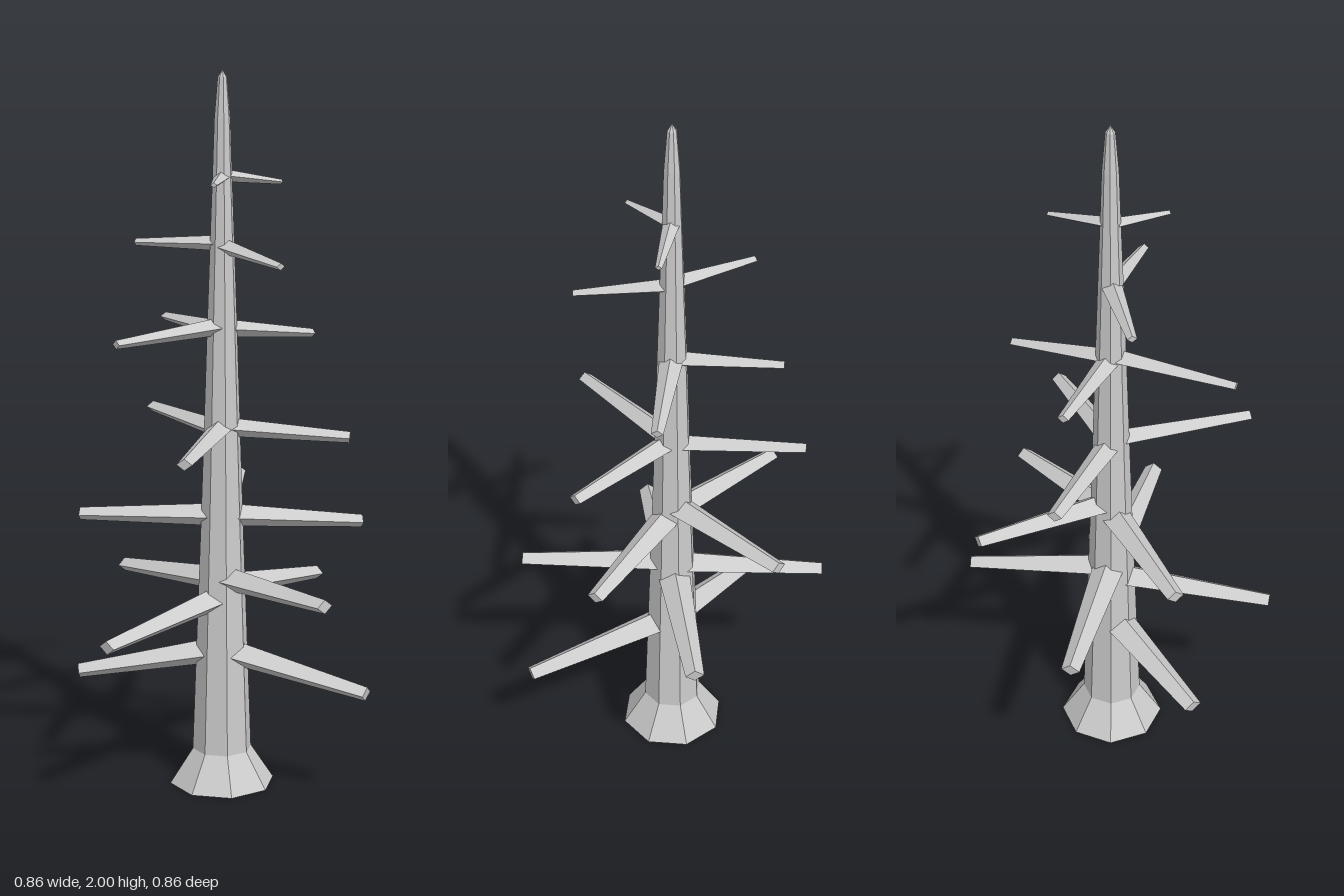
import * as THREE from 'three';

const CENTER_X = 0.02;

export function createModel() {
  const model = new THREE.Group();
  model.name = 'bareTree';
  const bark = new THREE.MeshStandardMaterial({ color: 0xcccccc, flatShading: true });

  // Trunk: flared eight-sided foot tapering to a blunt point [radius, height]
  const profile = [
    [0, 0], [0.149, 0], [0.084, 0.1], [0.073, 0.4], [0.06, 0.75], [0.051, 1.02],
    [0.042, 1.3], [0.034, 1.53], [0.027, 1.72], [0.022, 1.87], [0.013, 1.98], [0, 2],
  ].map(([r, y]) => new THREE.Vector2(r, y));
  const trunk = new THREE.Mesh(new THREE.LatheGeometry(profile, 8, Math.PI / 8), bark);
  trunk.name = 'trunk';
  trunk.position.x = CENTER_X;
  model.add(trunk);

  // Four-sided tapering branch, ridge upward, slightly flattened
  function addBranch(name, rootR, tipR, [rootY, x, y, z]) {
    const root = new THREE.Vector3(CENTER_X, rootY, 0);
    const tip = new THREE.Vector3(x, y, z);
    const length = root.distanceTo(tip);
    const geometry = new THREE.CylinderGeometry(tipR, rootR, length, 4)
      .translate(0, length / 2, 0)
      .rotateX(Math.PI / 2)
      .scale(1, 0.75, 1);
    const branch = new THREE.Mesh(geometry, bark);
    branch.name = name;
    branch.position.copy(root);
    branch.lookAt(tip);
    model.add(branch);
  }

  // Whorls from bottom to top; each branch is [rootY, tipX, tipY, tipZ]
  const whorls = [
    { rootR: 0.05, tipR: 0.027, branches: [
      [0.39, 0.24, 0.325, 0.385], [0.39, -0.325, 0.33, -0.21]] },
    { rootR: 0.047, tipR: 0.026, branches: [
      [0.595, -0.045, 0.55, -0.425], [0.575, 0.42, 0.53, -0.103],
      [0.6, 0.068, 0.61, 0.425], [0.545, -0.423, 0.5, 0.12]] },
    { rootR: 0.044, tipR: 0.024, branches: [
      [0.81, 0.28, 0.815, -0.315], [0.78, 0.377, 0.75, 0.172],
      [0.78, -0.285, 0.77, -0.262]] },
    { rootR: 0.036, tipR: 0.021, branches: [
      [1.02, 0.02, 1.028, -0.368], [1.03, 0.287, 1.01, 0.232],
      [1.03, -0.28, 1.01, 0.282]] },
    { rootR: 0.033, tipR: 0.016, branches: [
      [1.305, 0.317, 1.267, 0.008], [1.31, -0.33, 1.292, 0.025],
      [1.3, 0.022, 1.3, -0.3]] },
    { rootR: 0.029, tipR: 0.013, branches: [
      [1.53, 0.035, 1.498, 0.258], [1.537, -0.13, 1.53, -0.205]] },
    { rootR: 0.023, tipR: 0.009, branches: [
      [1.72, 0.203, 1.695, 0.015], [1.716, -0.09, 1.707, 0.128]] },
  ];
  whorls.forEach(({ rootR, tipR, branches }, tier) =>
    branches.forEach((b, i) => addBranch(`branch${tier + 1}_${i + 1}`, rootR, tipR, b)));

  return model;
}
